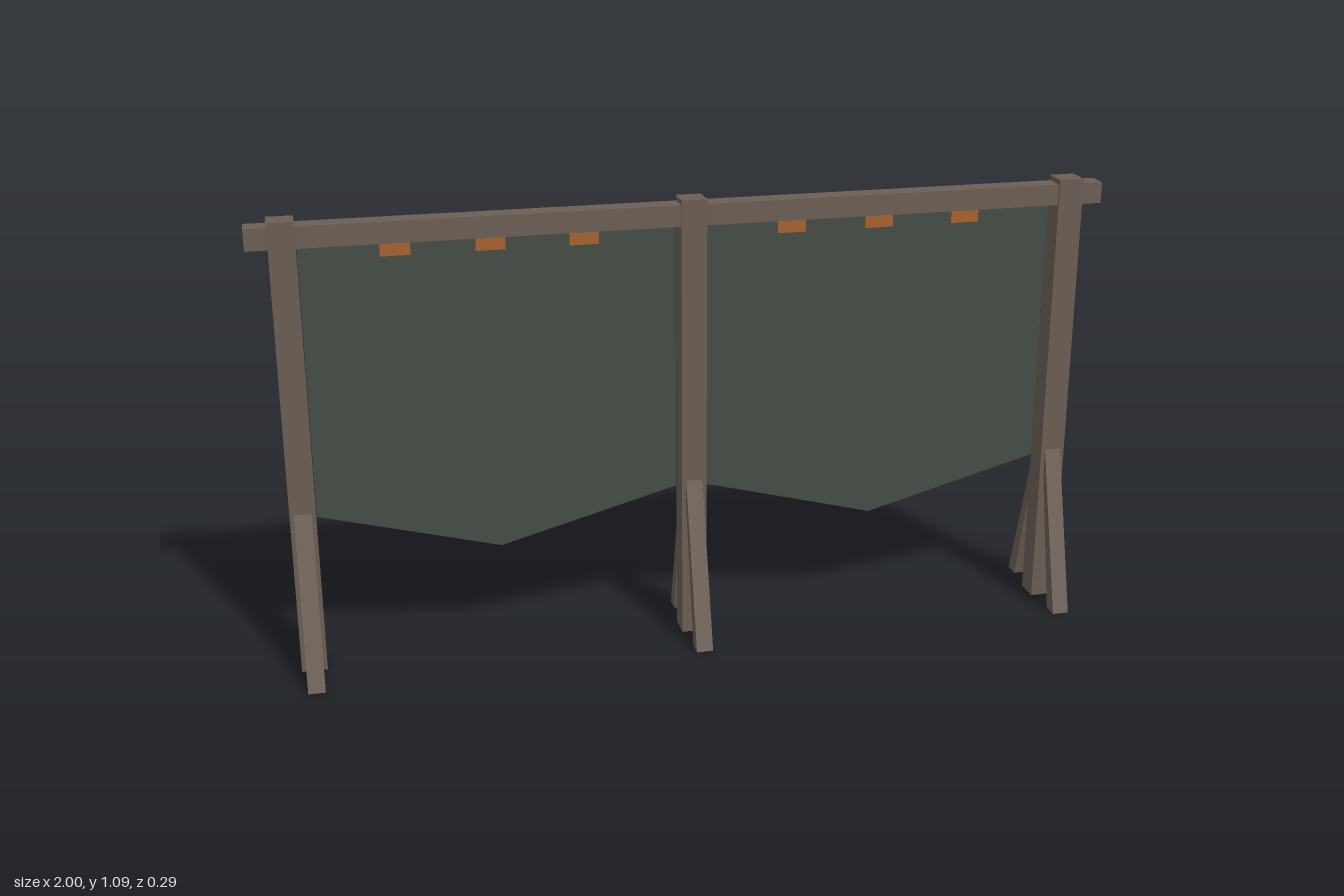
import * as THREE from 'three';

export function createModel() {
  const model = new THREE.Group();
  model.name = 'hangingScreen';

  const material = (name, color) => {
    const m = new THREE.MeshStandardMaterial({ color });
    m.name = name;
    return m;
  };
  const wood = material('weatheredWood', 0x6b5e54);
  const cloth = material('darkGreenCloth', 0x444d45);
  const clipColor = material('orangeClip', 0xa5622d);

  const add = (parent, name, geometry, mat, x = 0, y = 0, z = 0) => {
    const mesh = new THREE.Mesh(geometry, mat);
    mesh.name = name;
    mesh.position.set(x, y, z);
    parent.add(mesh);
    return mesh;
  };
  const extrude = (points, depth) => new THREE.ExtrudeGeometry(
    new THREE.Shape(points.map(([x, y]) => new THREE.Vector2(x, y))),
    { depth, bevelEnabled: false });

  // Top rail through all the posts
  add(model, 'topRail', new THREE.BoxGeometry(2, 0.05, 0.05), wood, 0, 1.048, 0);

  // Posts, each with a slanted brace in front and behind
  const postGeometry = new THREE.BoxGeometry(0.06, 1.085, 0.06);
  const braceGeometry = extrude([[0.107, 0], [0.145, 0], [0.02, 0.435], [0.02, 0.373]], 0.04);
  braceGeometry.translate(0, 0, -0.02);
  for (const x of [-0.92, 0, 0.92]) {
    const stand = new THREE.Group();
    stand.name = 'stand';
    stand.position.x = x;
    add(stand, 'post', postGeometry, wood, 0, 0.5425, 0);
    add(stand, 'frontBrace', braceGeometry, wood).rotation.y = -Math.PI / 2;
    add(stand, 'backBrace', braceGeometry, wood).rotation.y = Math.PI / 2;
    model.add(stand);
  }

  // Pointed cloth panels with three clips each
  const clothGeometry = extrude(
    [[-0.428, 0.368], [0, 0.253], [0.428, 0.368], [0.428, 1.022], [-0.428, 1.022]], 0.012);
  const clipGeometry = new THREE.BoxGeometry(0.068, 0.053, 0.036);
  for (const side of [-1, 1]) {
    const panel = new THREE.Group();
    panel.name = side > 0 ? 'leftPanel' : 'rightPanel';
    panel.position.x = side * 0.46;
    add(panel, 'cloth', clothGeometry, cloth, 0, 0, -0.038);
    for (const x of [-0.214, 0, 0.214]) add(panel, 'clip', clipGeometry, clipColor, x, 1.009, -0.039);
    model.add(panel);
  }
  return model;
}
